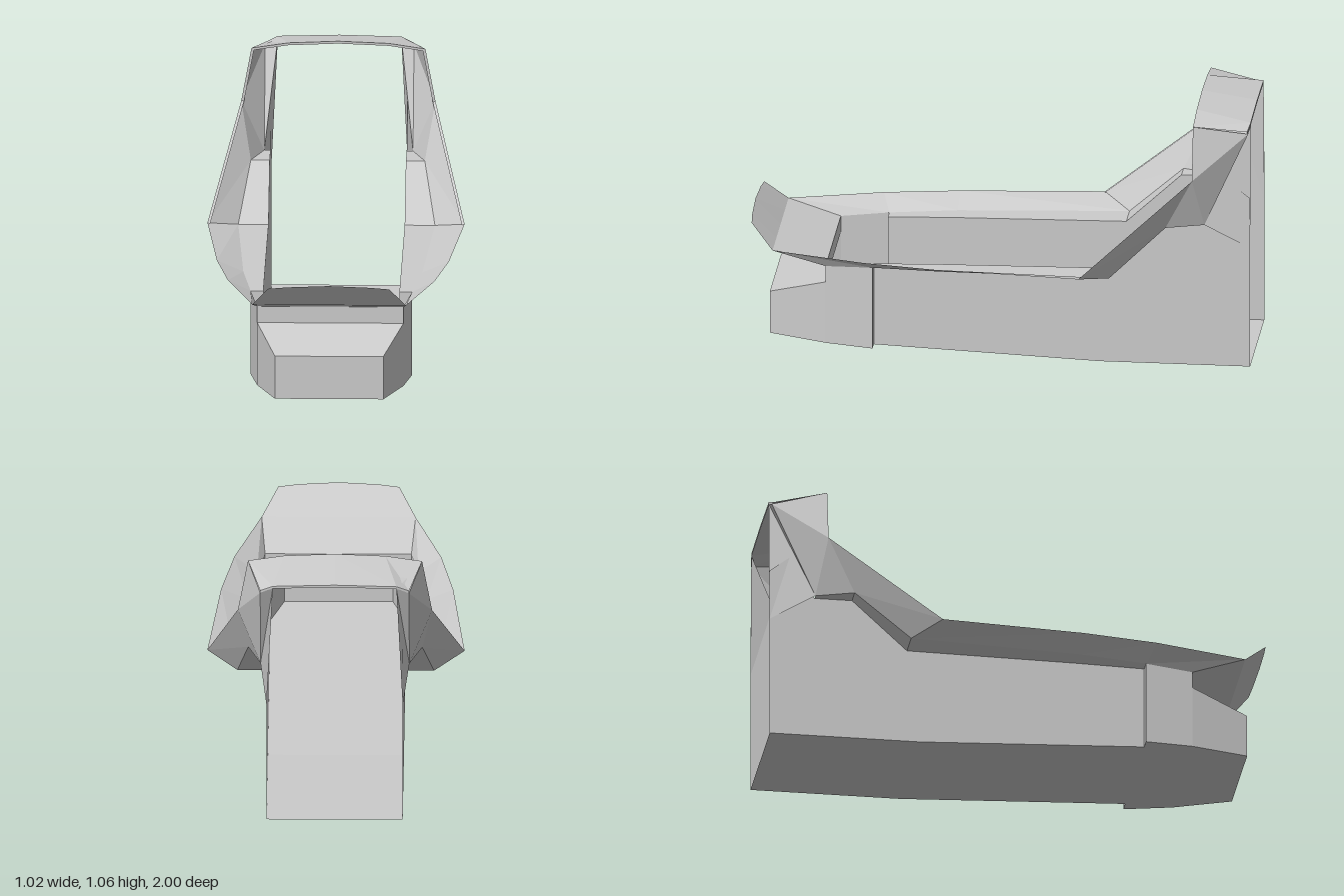
import * as THREE from 'three';

const material = new THREE.MeshStandardMaterial({
  color: 0xcccccc, flatShading: true, side: THREE.DoubleSide,
});

// Sheet joining successive rows of points (all rows equally long)
function sheet(name, ...rows) {
  const p = [];
  for (let r = 0; r + 1 < rows.length; r++) {
    const a = rows[r], b = rows[r + 1];
    for (let i = 0; i + 1 < a.length; i++) {
      p.push(...a[i], ...b[i], ...b[i + 1], ...a[i], ...b[i + 1], ...a[i + 1]);
    }
  }
  const g = new THREE.BufferGeometry();
  g.setAttribute('position', new THREE.Float32BufferAttribute(p, 3));
  g.computeVertexNormals();
  const mesh = new THREE.Mesh(g, material);
  mesh.name = name;
  return mesh;
}

// Row spanning the full width, from half-row points ordered outer to centre
const across = (half) => [
  ...half,
  ...half.filter((p) => p[0] > 0).reverse().map(([x, y, z]) => [-x, y, z]),
];

function sideParts() {
  const side = new THREE.Group();

  // Tub side wall with its raised rear peak, drawn in the z-y plane
  const outline = [[0.5, 0.037], [0.5, 0.378], [0.23, 0.385], [-0.45, 0.395], [-0.67, 0.6],
    [-0.82, 0.6], [-0.91, 0.78], [-1, 0.71], [-1, 0], [-0.4, 0]];
  const wallGeo = new THREE.ShapeGeometry(
    new THREE.Shape(outline.map(([z, y]) => new THREE.Vector2(z, y))));
  wallGeo.rotateY(-Math.PI / 2).translate(0.27, 0, 0);
  const wall = new THREE.Mesh(wallGeo, material);
  wall.name = 'sideWall';
  side.add(wall);

  // Flared rim and the shelf inside it
  const rimOuter = [[0.305, 0.43, 0.9], [0.41, 0.43, 0.53], [0.46, 0.43, 0.23], [0.51, 0.43, -0.34]];
  const rimInner = [[0.29, 0.367, 0.69], [0.32, 0.378, 0.5], [0.355, 0.385, 0.23], [0.39, 0.395, -0.45]];
  side.add(sheet('rim', rimOuter, rimInner));
  const shelfOuter = [...rimInner.slice(1), [0.345, 0.6, -0.67], [0.295, 0.6, -0.82]];
  side.add(sheet('shelf', shelfOuter, shelfOuter.map(([, y, z]) => [0.27, y, z])));

  // Rear pillar, its front lip and the narrow panel behind it
  const edge = [[0.51, 0.43, -0.34], [0.385, 0.815, -0.78], [0.345, 1.03, -0.78]];
  const foot = [0.345, 0.6, -0.67], heel = [0.295, 0.6, -0.82], top = [0.295, 0.99, -0.995];
  side.add(
    sheet('pillarLower', [edge[0], edge[1]], [[0.39, 0.395, -0.45], foot]),
    sheet('pillarMiddle', [edge[1], edge[1]], [foot, heel]),
    sheet('pillarUpper', [edge[1], edge[2]], [heel, top]),
    sheet('pillarLip', edge, edge.map(([x, y, z]) => [x - 0.011, y - 0.003, z])),
    sheet('pillarBack', [heel, top], [[0.27, 0.5, -1], [0.245, 1.013, -1]]),
  );

  // Nose side and the step where it meets the tub
  side.add(
    sheet('noseSide', [[0.32, 0.378, 0.5], [0.29, 0.367, 0.69]], [[0.32, 0.037, 0.5], [0.29, 0.043, 0.69]]),
    sheet('noseSideFront', [[0.29, 0.3, 0.69], [0.215, 0.225, 0.92]], [[0.29, 0.043, 0.69], [0.215, 0.05, 0.92]]),
    sheet('noseStep', [[0.32, 0.378, 0.5], [0.27, 0.378, 0.5]], [[0.32, 0.037, 0.5], [0.27, 0.037, 0.5]]),
  );
  return side;
}

export function createModel() {
  const model = new THREE.Group();
  model.name = 'cockpitTub';

  const left = sideParts();
  left.name = 'leftSide';
  const right = sideParts();
  right.name = 'rightSide';
  right.scale.x = -1;
  model.add(left, right);

  // Floor of the tub and of the wider nose
  const row = (x, y, z) => across([[x, y, z]]);
  model.add(sheet('floor', row(0.27, 0, -1), row(0.27, 0, -0.4), row(0.27, 0.037, 0.5)));
  model.add(sheet('noseFloor', row(0.32, 0.037, 0.5), row(0.29, 0.043, 0.69), row(0.215, 0.05, 0.92)));

  // Front of the nose: upright, slope, upright
  model.add(sheet('noseFront', row(0.29, 0.367, 0.69), row(0.29, 0.3, 0.69),
    row(0.215, 0.225, 0.92), row(0.215, 0.05, 0.92)));

  // Upturned front hood
  model.add(sheet('hood',
    across([[0.24, 0.52, 0.99], [0.16, 0.528, 0.996], [0, 0.535, 1]]),
    across([[0.305, 0.43, 0.9], [0.16, 0.43, 0.9], [0, 0.43, 0.9]]),
    across([[0.29, 0.367, 0.69], [0.16, 0.367, 0.69], [0, 0.367, 0.69]])));

  // Thin arch over the rear opening, closed round its section
  const front = [[0.345, 1.02, -0.78], [0.2, 1.042, -0.78], [0, 1.05, -0.78]];
  const back = [[0.295, 0.988, -0.99], [0.245, 1.011, -1], [0, 1.017, -1]];
  const raise = (pts) => across(pts.map(([x, y, z]) => [x, y + 0.01, z]));
  model.add(sheet('rearArch', across(front), raise(front), raise(back), across(back), across(front)));

  return model;
}
